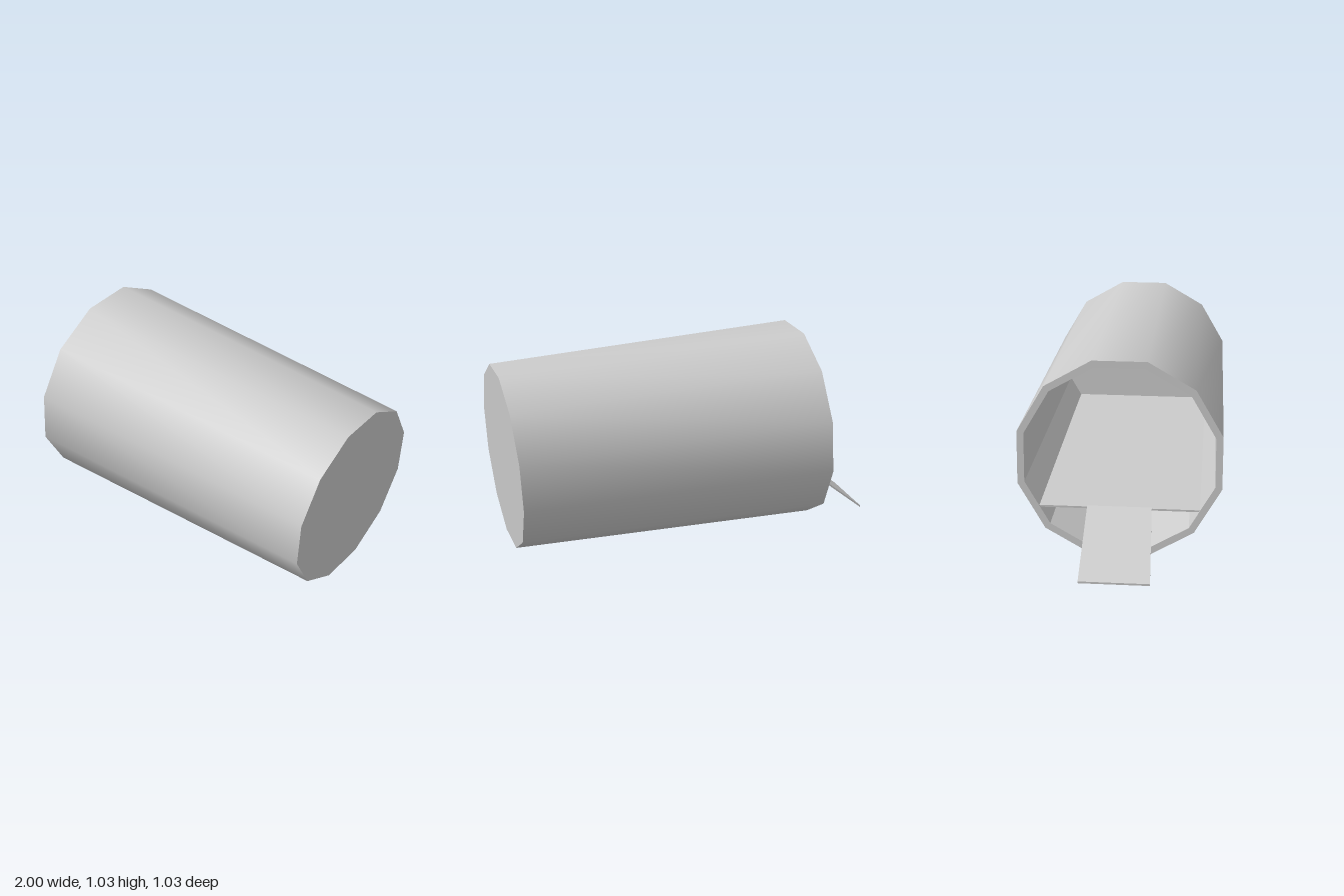
import * as THREE from 'three';

const SIDES = 12;
const WALL = 0.035;
const material = new THREE.MeshStandardMaterial({ color: 0xcccccc });

// Leaning twelve-sided ring around the barrel axis, flats at top and bottom
function ring(cx, cy, apothem, lean) {
  const r = apothem / Math.cos(Math.PI / SIDES);
  return Array.from({ length: SIDES }, (_, i) => {
    const a = ((i + 0.5) / SIDES) * Math.PI * 2;
    const up = r * Math.sin(a);
    return [cx + lean * up, cy + up, r * Math.cos(a)];
  });
}

// Four-cornered cross-section of a thin board
function boardSection(x, y, halfWidth, thickness) {
  return [
    [x, y - thickness, halfWidth], [x, y, halfWidth],
    [x, y, -halfWidth], [x, y - thickness, -halfWidth],
  ];
}

// Joins two rings with a band of faces; flip turns the faces inward
function band(a, b, { flip = false, smooth = false } = {}) {
  const n = a.length;
  const index = [];
  const tri = (p, q, r) => index.push(...(flip ? [p, r, q] : [p, q, r]));
  for (let i = 0; i < n; i++) {
    const j = (i + 1) % n;
    tri(i, n + i, j);
    tri(j, n + i, n + j);
  }
  return build([...a, ...b], index, smooth);
}

// Flat polygon facing -x, or +x when flipped
function cap(points, flip = false) {
  const index = [];
  for (let i = 1; i < points.length - 1; i++) {
    index.push(0, ...(flip ? [i + 1, i] : [i, i + 1]));
  }
  return build(points, index, false);
}

function build(points, index, smooth) {
  let g = new THREE.BufferGeometry();
  g.setAttribute('position', new THREE.Float32BufferAttribute(points.flat(), 3));
  g.setIndex(index);
  if (!smooth) g = g.toNonIndexed();
  g.computeVertexNormals();
  return g;
}

function add(parent, name, geometry) {
  const mesh = new THREE.Mesh(geometry, material);
  mesh.name = name;
  parent.add(mesh);
}

// Closed board between two cross-sections
function board(name, a, b) {
  const group = new THREE.Group();
  group.name = name;
  add(group, name + 'Sides', band(a, b));
  add(group, name + 'LowEnd', cap(a));
  add(group, name + 'HighEnd', cap(b, true));
  return group;
}

export function createModel() {
  const model = new THREE.Group();
  model.name = 'barrelShelter';

  // Barrel lying on its side, open at -x
  const mouth = ring(-0.67, 0.518, 0.514, 0.049);
  const base = ring(0.973, 0.471, 0.471, 0.055);
  const innerMouth = ring(-0.67, 0.518, 0.514 - WALL, 0.049);
  const innerBase = ring(0.973 - WALL, 0.472, 0.472 - WALL, 0.055);

  const barrel = new THREE.Group();
  barrel.name = 'barrel';
  add(barrel, 'outerWall', band(mouth, base, { smooth: true }));
  add(barrel, 'rim', band(mouth, innerMouth, { flip: true }));
  add(barrel, 'innerWall', band(innerMouth, innerBase, { flip: true }));
  add(barrel, 'outerBase', cap(base, true));
  add(barrel, 'innerBase', cap(innerBase));
  model.add(barrel);

  // Level floor inside the barrel
  model.add(board('floor',
    boardSection(-0.675, 0.262, 0.41, 0.01),
    boardSection(0.925, 0.25, 0.375, 0.01)));

  // Entrance ramp, slightly wider at the ground
  model.add(board('ramp',
    boardSection(-1, 0.01, 0.178, 0.01),
    boardSection(-0.675, 0.268, 0.163, 0.01)));

  return model;
}
